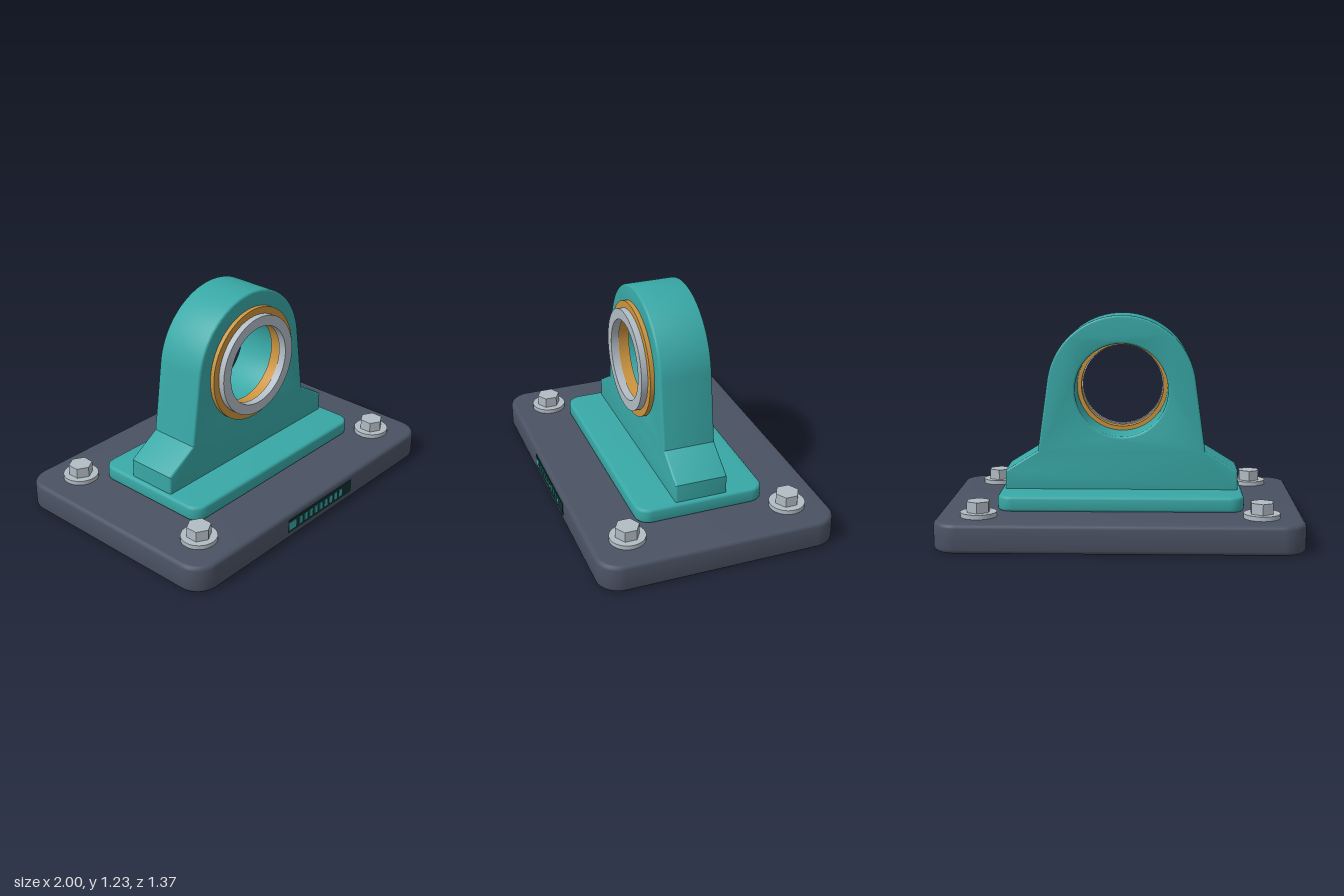
import * as THREE from 'three';
import { toCreasedNormals } from 'three/addons/utils/BufferGeometryUtils.js';

const paint = (name, color) => {
  const m = new THREE.MeshStandardMaterial({ color });
  m.name = name;
  return m;
};

// Extrusion along z, centred, whose rounded edges stay inside the outline
function bevelled(shape, depth, bevel, curveSegments) {
  const g = new THREE.ExtrudeGeometry(shape, {
    depth: depth - 2 * bevel, bevelEnabled: true, bevelThickness: bevel, bevelSize: bevel,
    bevelOffset: -bevel, bevelSegments: 3, curveSegments,
  });
  g.translate(0, 0, -depth / 2 + bevel);
  return toCreasedNormals(g, 0.6);
}

// Flat slab with rounded corners, standing on y0
function slab(w, d, h, r, bevel, y0) {
  const s = new THREE.Shape(), x = w / 2, y = d / 2;
  s.absarc(x - r, y - r, r, 0, Math.PI / 2);
  s.absarc(-x + r, y - r, r, Math.PI / 2, Math.PI);
  s.absarc(-x + r, -y + r, r, Math.PI, Math.PI * 1.5);
  s.absarc(x - r, -y + r, r, Math.PI * 1.5, Math.PI * 2);
  return bevelled(s, h, bevel, 10).rotateX(-Math.PI / 2).translate(0, y0 + h / 2, 0);
}

// Closed ring turned about z from [radius, z] corners
function ring(corners) {
  const pts = [...corners, corners[0]].map(([r, z]) => new THREE.Vector2(r, z));
  return toCreasedNormals(new THREE.LatheGeometry(pts, 64).rotateX(Math.PI / 2), 0.6);
}

export function createModel() {
  const model = new THREE.Group();
  model.name = 'pillowBlock';
  const slate = paint('slate', 0x4a5263);
  const teal = paint('teal', 0x38a8a6);
  const bronze = paint('bronze', 0xcc943e);
  const steel = paint('steel', 0xb2bcc4);
  const darkTeal = paint('dark teal', 0x0f2f30);

  const add = (name, geometry, material, parent = model) => {
    const mesh = new THREE.Mesh(geometry, material);
    mesh.name = name;
    parent.add(mesh);
    return mesh;
  };

  // Base plate and pedestal
  add('basePlate', slab(2, 1.36, 0.16, 0.13, 0.022, 0), slate);
  add('pedestal', slab(1.37, 0.74, 0.085, 0.08, 0.016, 0.16), teal);

  // Upright housing with round crown, sloping shoulders and bore
  const cy = 0.81, R = 0.423, tilt = 0.12;
  const outline = new THREE.Shape();
  outline.moveTo(-0.66, 0.235);
  outline.lineTo(0.66, 0.235);
  outline.lineTo(0.66, 0.35);
  outline.lineTo(0.475, 0.465);
  outline.absarc(0, cy, R, tilt, Math.PI - tilt);
  outline.lineTo(-0.475, 0.465);
  outline.lineTo(-0.66, 0.35);
  const bore = new THREE.Path();
  bore.absarc(0, cy, 0.264, 0, Math.PI * 2, true);
  outline.holes.push(bore);
  add('housing', bevelled(outline, 0.3, 0.012, 32), teal);

  // Flanged bushing and the race in front of it
  add('bushing', ring([[0.24, 0.1], [0.266, 0.1], [0.266, 0.148], [0.333, 0.148],
    [0.333, 0.175], [0.24, 0.175]]), bronze).position.y = cy;
  add('race', ring([[0.233, 0.165], [0.293, 0.165], [0.293, 0.211], [0.233, 0.211]]), steel).position.y = cy;
  // Keep the ring faces outward whichever way the profile turns
  bronze.side = steel.side = THREE.DoubleSide;

  // Four hex bolts on washers
  const washer = new THREE.CylinderGeometry(0.1, 0.1, 0.025, 32).translate(0, 0.1725, 0);
  const head = toCreasedNormals(new THREE.CylinderGeometry(0.068, 0.068, 0.06, 6), 0.5).translate(0, 0.215, 0);
  for (const x of [-0.77, 0.77]) for (const z of [-0.465, 0.465]) {
    const bolt = new THREE.Group();
    bolt.name = 'bolt';
    bolt.position.set(x, 0, z);
    add('washer', washer, steel, bolt);
    add('hexHead', head, steel, bolt);
    model.add(bolt);
  }

  // Front plate with a block and a row of plain marks
  add('frontPlate', new THREE.BoxGeometry(0.565, 0.08, 0.006), darkTeal).position.set(0, 0.084, 0.68);
  add('plateBlock', new THREE.BoxGeometry(0.06, 0.05, 0.004), teal).position.set(-0.253, 0.084, 0.683);
  const mark = new THREE.BoxGeometry(0.025, 0.045, 0.004);
  for (let i = 0; i < 9; i++) add('plateMark', mark, teal).position.set(-0.18 + i * 0.045, 0.084, 0.683);

  return model;
}
